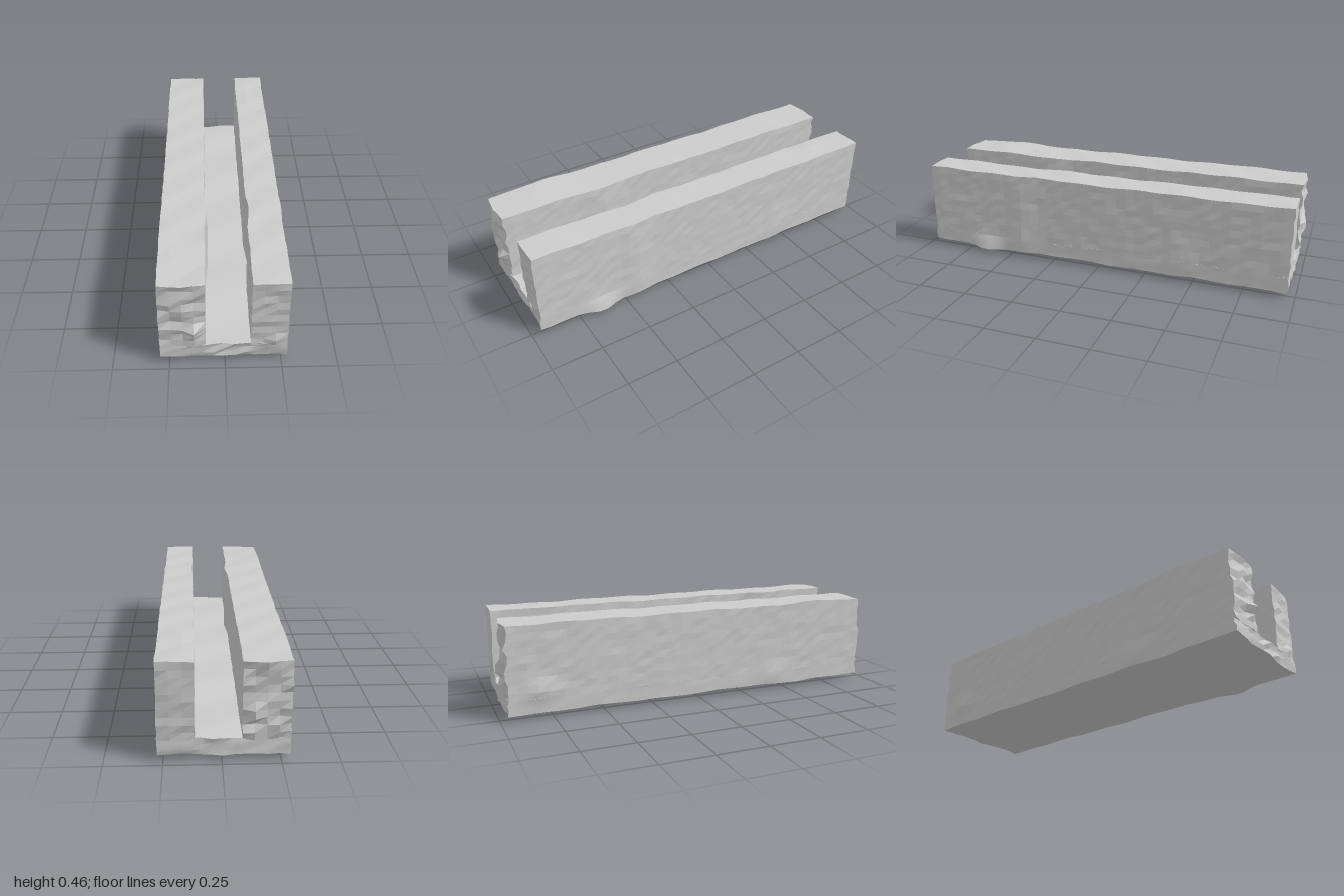
import * as THREE from 'three';
import { toCreasedNormals } from 'three/addons/utils/BufferGeometryUtils.js';

// Overall limits of the channel block
const LEFT = -0.29, RIGHT = 0.275, BACK = -0.965, FRONT = 0.952;
const BOTTOM = 0.03, FLOOR = 0.105, TOP = 0.453;

// Local chips and swellings: centre, push, radii
const BUMPS = [
  { at: [0, BOTTOM, 0.62], push: [0, -0.03, 0], r: [0.08, 0.03, 0.1] },
  { at: [0.15, BOTTOM, 0.43], push: [0, -0.021, 0], r: [0.07, 0.03, 0.12] },
  { at: [-0.25, BOTTOM, 0.6], push: [0, -0.012, 0], r: [0.06, 0.03, 0.1] },
  { at: [RIGHT, BOTTOM, 0.64], push: [0.032, -0.008, 0], r: [0.06, 0.08, 0.11] },
  { at: [RIGHT, 0.1, 0.43], push: [0.014, 0, 0], r: [0.05, 0.5, 0.12] },
  { at: [RIGHT, 0.1, -0.43], push: [0.01, 0, 0], r: [0.05, 0.15, 0.1] },
  { at: [LEFT, 0.13, -0.8], push: [-0.019, 0, 0], r: [0.04, 0.07, 0.1] },
  { at: [LEFT, 0.08, 0.42], push: [-0.014, 0, 0], r: [0.04, 0.08, 0.12] },
  { at: [-0.09, 0.25, 0.43], push: [0.016, 0, 0], r: [0.05, 0.9, 0.14] },
  { at: [0.113, 0.25, 0.43], push: [0.016, 0, 0], r: [0.05, 0.9, 0.14] },
  { at: [-0.28, TOP, 0.7], push: [0, 0.01, 0], r: [0.14, 0.03, 0.16] },
  { at: [0.17, TOP, -0.72], push: [0, 0.008, 0], r: [0.09, 0.03, 0.12] },
  { at: [-0.15, 0.2, FRONT], push: [0, 0, 0.04], r: [0.06, 0.05, 0.04] },
  { at: [0.22, 0.12, FRONT], push: [0, 0, 0.02], r: [0.06, 0.04, 0.04] },
  { at: [-0.15, 0.22, BACK], push: [0, 0, -0.03], r: [0.06, 0.05, 0.04] },
  { at: [-0.15, 0.13, BACK], push: [0, 0, -0.02], r: [0.1, 0.03, 0.04] },
];

// Repeatable value in -1..1 from two coordinates
function hash(a, b) {
  const s = Math.sin(Math.round(a * 100) * 12.9898 + Math.round(b * 100) * 78.233) * 43758.5453;
  return (s - Math.floor(s)) * 2 - 1;
}

// Subdivided box whose faces are roughened by position
function roughBox(x0, x1, y0, y1, segs, ends) {
  const g = new THREE.BoxGeometry(x1 - x0, y1 - y0, FRONT - BACK, ...segs);
  g.translate((x0 + x1) / 2, (y0 + y1) / 2, (FRONT + BACK) / 2);
  const p = g.attributes.position, v = new THREE.Vector3();
  const near = (a, b) => Math.abs(a - b) < 1e-4;
  for (let i = 0; i < p.count; i++) {
    v.fromBufferAttribute(p, i);
    const { x, y, z } = v;
    // worn end faces
    if (near(z, FRONT)) v.z += ends[0] * hash(x, y);
    if (near(z, BACK)) v.z += ends[1] * hash(x + 3, y);
    // nearly flat sides
    if (near(x, x0) || near(x, x1)) v.x += 0.002 * hash(y, z);
    // wavy top, slot floor and underside
    if (near(y, TOP)) v.y += 0.004 * Math.sin(z * 17 + x * 9) * Math.cos(z * 7 + x * 14);
    if (near(y, FLOOR)) v.y += 0.005 * Math.sin(z * 13 + x * 8);
    if (near(y, BOTTOM)) v.y += 0.004 * Math.sin(z * 15 + x * 22) * Math.cos(z * 6);
    for (const { at, push, r } of BUMPS) {
      const d = Math.hypot((x - at[0]) / r[0], (y - at[1]) / r[1], (z - at[2]) / r[2]);
      if (d < 1) v.addScaledVector(new THREE.Vector3(...push), 1 - d);
    }
    p.setXYZ(i, v.x, v.y, v.z);
  }
  g.computeVertexNormals();
  return g;
}

export function createModel() {
  const group = new THREE.Group();
  const smooth = new THREE.MeshStandardMaterial({ color: 0xcccccc });
  const faceted = new THREE.MeshStandardMaterial({ color: 0xcccccc, flatShading: true });
  const add = (name, geometry, material) => {
    const mesh = new THREE.Mesh(geometry, material);
    mesh.name = name;
    group.add(mesh);
  };

  // Base slab with a gently uneven surface
  add('base', toCreasedNormals(roughBox(LEFT, RIGHT, BOTTOM, FLOOR, [12, 3, 40], [0.007, 0.007]), 0.6), smooth);

  // Two long upright walls with chipped ends
  add('rightWall', roughBox(LEFT, -0.085, FLOOR - 0.008, TOP, [4, 10, 40], [0.011, 0.011]), faceted);
  add('leftWall', roughBox(0.113, RIGHT, FLOOR - 0.008, TOP, [3, 10, 40], [0.005, 0.004]), faceted);
  return group;
}
